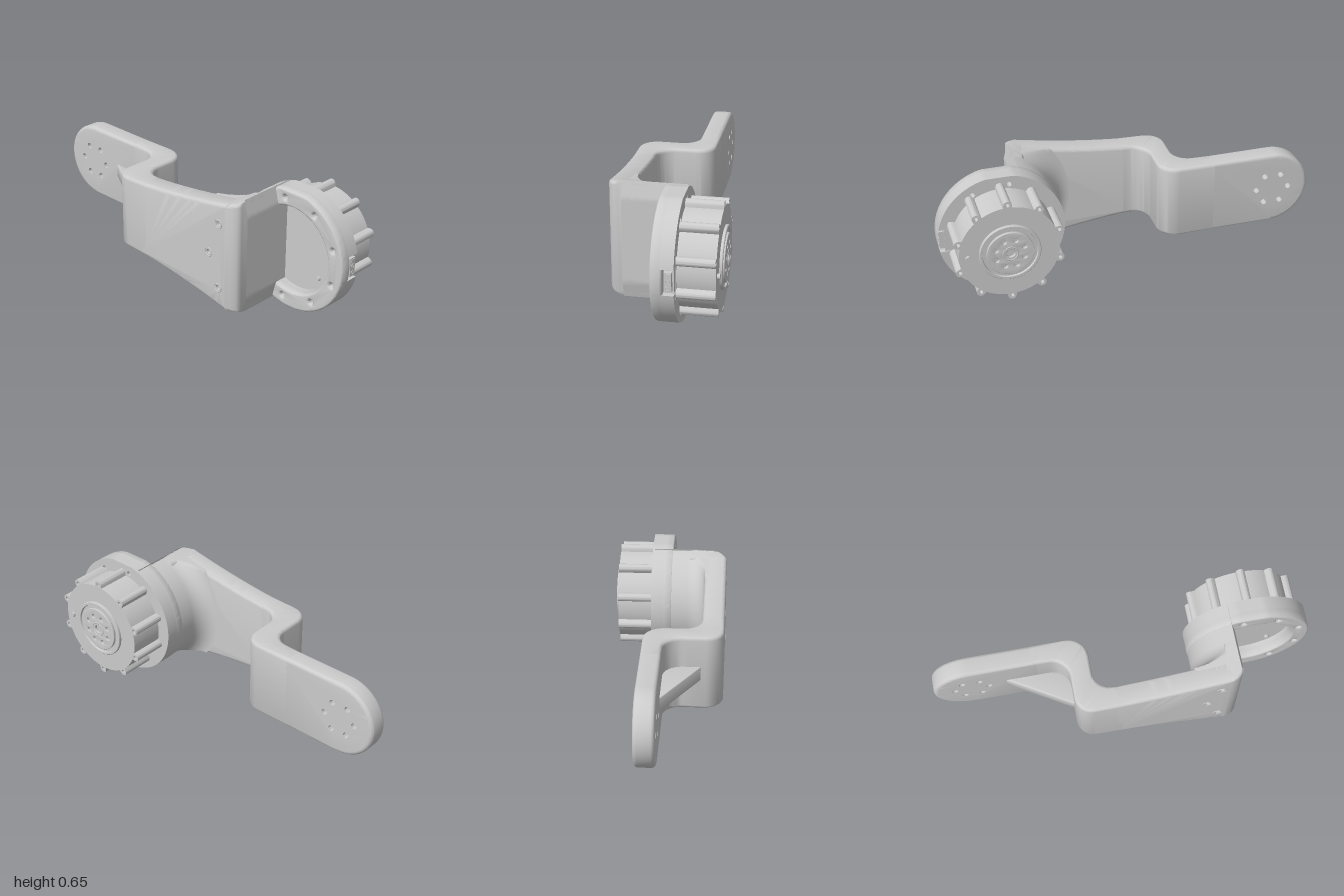
import * as THREE from 'three';
import { toCreasedNormals } from 'three/addons/utils/BufferGeometryUtils.js';

const CX = 0.67, CY = 0.33, MID = 0.333; // motor axis, arm mid height
const V = (x, y) => new THREE.Vector2(x, y);
const rad = THREE.MathUtils.degToRad;
const polar = (r, a, x = 0, y = 0) => V(x + r * Math.cos(a), y + r * Math.sin(a));

// half height of the arm, widening towards the motor
const halfWidth = x => 0.204 + 0.102 * Math.pow(Math.max(0, x + 0.2) / 0.77, 1.6);
// end wall of the arm, slightly swept back near its edges
const wallX = y => 0.58 - 0.25 * Math.max(0, Math.abs(y - MID) - 0.225);

function arc(cx, cy, r, a0, a1, n) {
  return Array.from({ length: n + 1 }, (_, i) => polar(r, a0 + (a1 - a0) * i / n, cx, cy));
}

function moveVertices(geo, rule) {
  const p = geo.attributes.position, v = new THREE.Vector3();
  for (let i = 0; i < p.count; i++) {
    v.fromBufferAttribute(p, i);
    rule(v);
    p.setXYZ(i, v.x, v.y, v.z);
  }
  return geo;
}

// plate with rounded rims and round holes [x, y, r]; straight holes keep their radius
function plate(outline, holes, z0, z1, bevel, straight = false) {
  const shape = new THREE.Shape(outline);
  for (const [x, y, r] of holes) shape.holes.push(new THREE.Path().absarc(x, y, r, 0, Math.PI * 2, true));
  const geo = new THREE.ExtrudeGeometry(shape, {
    depth: z1 - z0 - 2 * bevel, bevelEnabled: bevel > 0, bevelThickness: bevel,
    bevelSize: bevel, bevelOffset: -bevel, bevelSegments: 4, curveSegments: 32,
  });
  geo.translate(0, 0, z0 + bevel);
  if (straight) moveVertices(geo, v => {
    for (const [x, y, r] of holes) {
      const d = Math.hypot(v.x - x, v.y - y);
      if (d < r + bevel * 1.3) { v.x = x + (v.x - x) * r / d; v.y = y + (v.y - y) * r / d; }
    }
  });
  return toCreasedNormals(geo, 0.6);
}

// rounded-rectangle sections between a back line and a front line given in (x, z)
function loft(back, front, r = 0.02) {
  const pos = [], idx = [], q = 4, n = 4 * (q + 1);
  back.forEach((b, i) => {
    const f = front[i], T = b.distanceTo(f);
    for (let c = 0; c < 4; c++) for (let k = 0; k <= q; k++) {
      const a = (c + k / q) * Math.PI / 2;
      const d = (c === 0 || c === 3 ? T - r : r) + r * Math.cos(a);
      const x = b.x + (f.x - b.x) * d / T, z = b.y + (f.y - b.y) * d / T;
      const y = MID + (c < 2 ? 1 : -1) * (halfWidth(x) - r) + r * Math.sin(a);
      pos.push(Math.min(x, wallX(y)), y, z);
    }
    if (i) for (let j = 0; j < n; j++) {
      const a = (i - 1) * n + j, e = (i - 1) * n + (j + 1) % n;
      idx.push(a, a + n, e, e, a + n, e + n);
    }
  });
  const geo = new THREE.BufferGeometry();
  geo.setAttribute('position', new THREE.Float32BufferAttribute(pos, 3));
  geo.setIndex(idx);
  return toCreasedNormals(geo, 0.6);
}

// turned part on the motor axis; profile is [radius, distance towards the back]
function turned(profile, segments = 64) {
  return new THREE.LatheGeometry(profile.map(([r, h]) => V(r, h)), segments)
    .rotateX(-Math.PI / 2).translate(CX, CY, 0);
}

export function createModel() {
  const model = new THREE.Group();
  const mat = new THREE.MeshStandardMaterial({ color: 0xcccccc, side: THREE.DoubleSide });
  const add = (name, geo) => {
    const mesh = new THREE.Mesh(geo, mat);
    mesh.name = name;
    model.add(mesh);
  };
  const cyl = (r, x, y, z0, z1) => new THREE.CylinderGeometry(r, r, z1 - z0, 32)
    .rotateX(Math.PI / 2).translate(x, y, (z0 + z1) / 2);
  const H = Math.PI / 2;

  // rounded end plate with six through holes
  const sixHoles = [0, 1, 2, 3, 4, 5].map(i => {
    const p = polar(0.09, i * Math.PI / 3, -0.8, MID);
    return [p.x, p.y, 0.016];
  });
  const endOutline = [...arc(-0.796, MID, 0.204, H, 3 * H, 48), V(-0.43, MID - 0.204), V(-0.43, MID + 0.204)];
  add('endPlate', plate(endOutline, sixHoles, -0.105, 0, 0.02, true));

  // S-bend from the end plate to the front plate
  add('armBend', loft(
    [V(-0.47, -0.105), ...arc(-0.28, -0.005, 0.1, -H, 0, 12), ...arc(-0.08, 0.09, 0.1, 2 * H, H, 12), V(-0.06, 0.19)],
    [V(-0.47, 0), ...arc(-0.39, 0.1, 0.1, -H, 0, 12), ...arc(-0.2, 0.215, 0.09, 2 * H, H, 12), V(-0.06, 0.305)]));

  // stiffening rib in the bend
  const rib = [V(-0.62, -0.02), V(-0.27, -0.02), V(-0.27, 0.2), V(-0.29, 0.19), V(-0.615, 0)];
  add('rib', plate(rib, [], -0.038, 0.038, 0.004).rotateX(H).translate(0, MID, 0));

  // widening front plate with three screw holes
  const upper = [], lower = [];
  for (let i = 0; i <= 24; i++) {
    const x = -0.1 + 0.615 * i / 24;
    lower.push(V(x, MID - halfWidth(x)));
    upper.unshift(V(x, MID + halfWidth(x)));
  }
  const screw = deg => { const p = polar(0.278, rad(deg), CX, CY); return [p.x, p.y, 0.013]; };
  const armHoles = [140, 180, 220].map(screw);
  const frontPlate = plate([...lower, ...upper], armHoles, 0.19, 0.305, 0.02, true);
  add('frontPlate', frontPlate);
  armHoles.forEach(([x, y]) => add('screwSeat', new THREE.TorusGeometry(0.022, 0.003, 8, 32).translate(x, y, 0.305)));

  // rounded end corner of the front plate
  add('armCorner', loft(
    [...Array.from({ length: 13 }, (_, i) => V(0.48 + 0.02 * i / 12, 0.19 - 0.09 * i / 12)), V(0.5, 0.1)],
    [...arc(0.49, 0.215, 0.09, H, 0, 12), V(0.58, 0.1)]));

  // shoulder flaring from the motor ring into the arm, cut flat at the end wall
  const flare = arc(0.425, 0.09, 0.1, H, 2 * H, 14).map(p => [p.x, -p.y]);
  const shoulder = turned([[0.425, -0.23], ...flare, [0.325, 0.095]], 144);
  moveVertices(shoulder, v => {
    v.x = Math.min(v.x, 0.58);
    const limit = Math.max(halfWidth(v.x), Math.sqrt(Math.max(0, 0.325 ** 2 - (v.x - CX) ** 2)));
    v.y = THREE.MathUtils.clamp(v.y, MID - limit, MID + limit);
    v.x = Math.min(v.x, wallX(v.y));
  });
  add('shoulder', toCreasedNormals(shoulder, 0.6));

  // mounting ring: front layer, and back layer with a notch for the connector
  const trim = pts => pts.map(p => V(p.x, Math.min(p.y, 0.65)));
  const ringHoles = [[CX, CY, 0.235], ...[-100, -60, -20, 20, 60, 100].map(screw)];
  add('ringFront', plate(trim(arc(CX, CY, 0.328, 0, 4 * H, 120).slice(0, -1)), ringHoles, -0.05, 0.01, 0.012));
  const notch = Math.asin(0.065 / 0.328);
  add('ringBack', plate([...trim(arc(CX, CY, 0.328, notch, 4 * H - notch, 112)),
    V(CX + 0.27, CY - 0.065), V(CX + 0.27, CY + 0.065)], ringHoles, -0.105, -0.038, 0));

  // recess floor with two small pegs
  add('recessFloor', cyl(0.24, CX, CY, -0.1, -0.06));
  for (const s of [-1, 1]) add('recessPeg', cyl(0.012, CX + 0.13, CY + s * 0.135, -0.08, -0.045));

  // connector in the notch
  add('connectorBase', new THREE.BoxGeometry(0.04, 0.125, 0.05).translate(0.945, CY, -0.078));
  add('connectorShell', new THREE.BoxGeometry(0.03, 0.1, 0.036).translate(0.975, CY, -0.076));
  for (const y of [-0.03, 0.007]) {
    add('connectorPin', new THREE.TorusGeometry(0.009, 0.002, 8, 24).rotateY(H).translate(0.991, CY + y, -0.076));
  }
  add('connectorKey', new THREE.BoxGeometry(0.006, 0.018, 0.026).translate(0.99, CY + 0.035, -0.076));

  // motor housing with ten screw lugs
  const housing = [], lugHoles = [], LD = 0.268, LR = 0.022;
  for (let i = 0; i < 480; i++) {
    const a = i * Math.PI / 240, d = a - Math.round((a - rad(18)) / rad(36)) * rad(36) - rad(18);
    const s = LR ** 2 - (LD * Math.sin(d)) ** 2;
    housing.push(polar(s > 0 ? Math.max(0.256, LD * Math.cos(d) + Math.sqrt(s)) : 0.256, a, CX, CY));
  }
  for (let i = 0; i < 10; i++) {
    const p = polar(LD, rad(18 + 36 * i), CX, CY);
    lugHoles.push([p.x, p.y, 0.01]);
  }
  add('motorHousing', plate(housing, lugHoles, -0.29, -0.1, 0));

  // output boss, drilled flange, hub and locating pin on the back
  add('outputBoss', toCreasedNormals(turned([[0.157, 0.28], [0.157, 0.302], [0.154, 0.305], [0.142, 0.305],
    [0.139, 0.296], [0.124, 0.296], [0, 0.296]]), 0.4));
  const flangeHoles = [[CX, CY, 0.022]];
  for (let i = 0; i < 8; i++) {
    const p = polar(0.077, rad(22.5 + 45 * i), CX, CY);
    flangeHoles.push([p.x, p.y, 0.012]);
  }
  add('outputFlange', plate(arc(CX, CY, 0.121, 0, 4 * H, 64).slice(0, -1), flangeHoles, -0.31, -0.294, 0.002));
  add('hubRing', new THREE.TorusGeometry(0.038, 0.004, 8, 48).translate(CX, CY, -0.309));
  add('locatingPin', cyl(0.014, 0.88, CY, -0.304, -0.28));

  return model;
}
